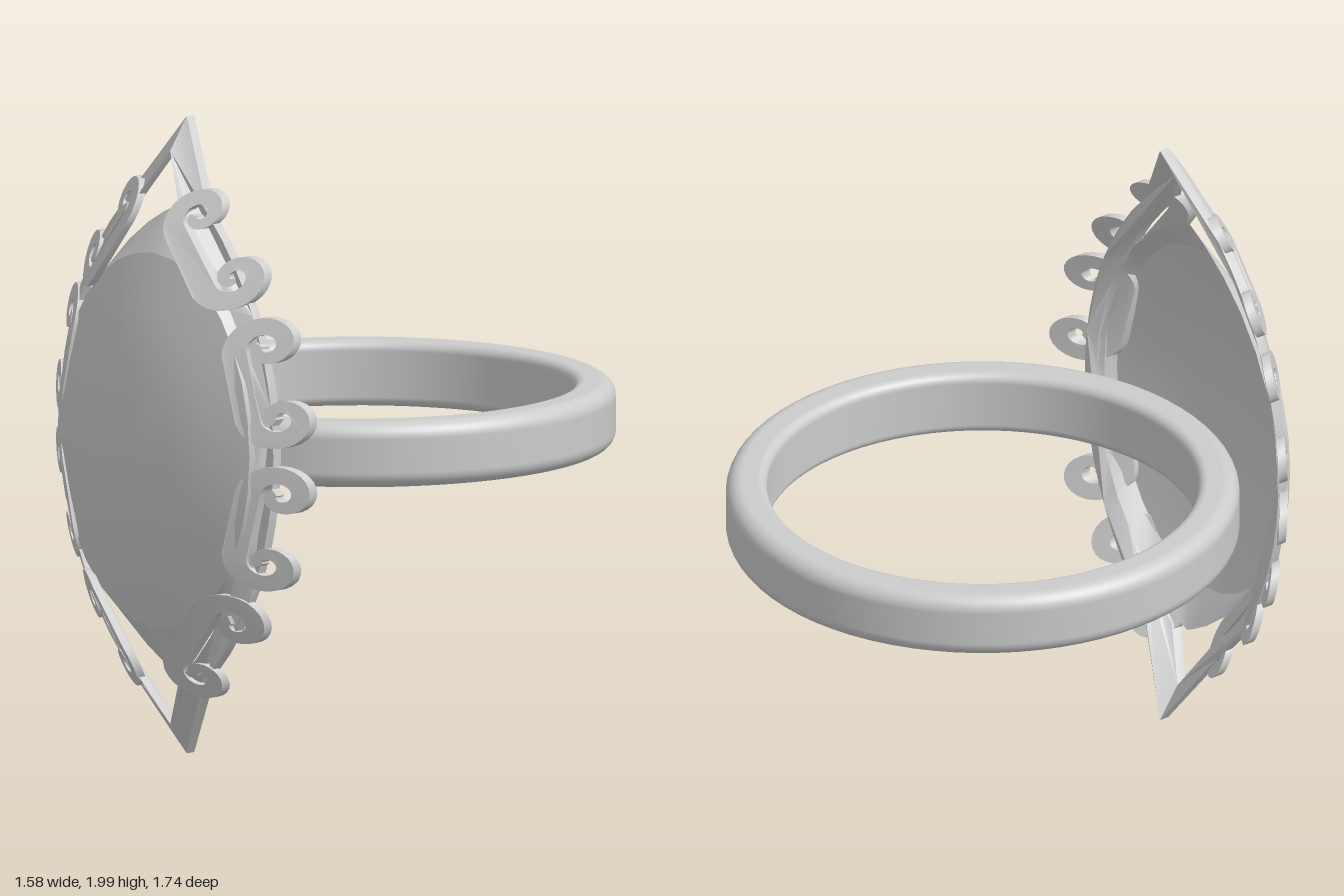
import * as THREE from 'three';
import { toCreasedNormals } from 'three/addons/utils/BufferGeometryUtils.js';

const MID = 1.005;                    // height of the setting's centre
const ARC_X = -0.552, ARC_R = 0.972;  // arc that draws each side of the pointed oval

const metal = new THREE.MeshStandardMaterial({ color: 0xcccccc });
const shell = new THREE.MeshStandardMaterial({ color: 0xcccccc, side: THREE.DoubleSide });

// x on the pointed oval, grown outwards by d, at height dy above the centre
const ovalX = (dy, d) => Math.sqrt((ARC_R + d) ** 2 - dy * dy) + ARC_X;

// Cut a plate, then slope it backwards the further it lies outside the oval
function slopedPlate(shape, name, lift = 0) {
  let g = new THREE.ExtrudeGeometry(shape, { depth: 0.032, bevelEnabled: false, curveSegments: 8 });
  const p = g.attributes.position;
  for (let i = 0; i < p.count; i++) {
    const d = Math.hypot(Math.abs(p.getX(i)) - ARC_X, p.getY(i) - MID) - ARC_R;
    p.setZ(i, p.getZ(i) + 0.753 - 0.8 * d + lift);
  }
  g = toCreasedNormals(g, 0.6);
  const mesh = new THREE.Mesh(g, metal);
  mesh.name = name;
  return mesh;
}

// Spiral of [x, y, width] from the gem side of a curl in to its core
function curl([cx, cy, r], turn) {
  const start = Math.atan2(MID - cy, ARC_X - cx), n = 26, pts = [];
  for (let i = 0; i <= n; i++) {
    const t = i / n, a = start + turn * t * Math.PI * 2.2;
    const rad = r * (0.72 - 0.57 * t);
    pts.push([cx + rad * Math.cos(a), cy + rad * Math.sin(a), r * (0.56 - 0.34 * t)]);
  }
  return pts;
}

// Double scroll: two curls joined by a stem along the gem, cut as one ribbon
function scroll(upper, lower, sx, sy) {
  const line = [...curl(upper, -1).reverse(), ...curl(lower, 1)];
  const left = [], right = [];
  line.forEach(([x, y, w], i) => {
    const a = line[Math.max(i - 1, 0)], b = line[Math.min(i + 1, line.length - 1)];
    const tx = b[0] - a[0], ty = b[1] - a[1], k = w / 2 / Math.hypot(tx, ty);
    const place = s => new THREE.Vector2(sx * (x - s * ty * k), MID + sy * (y + s * tx * k - MID));
    left.push(place(1));
    right.push(place(-1));
  });
  return slopedPlate(new THREE.Shape([...left, ...right.reverse()]), 'scroll');
}

// Pointed outline: an oval with straight-sided tips top and bottom
function pointedOutline(tip, joinY, d) {
  const pts = [new THREE.Vector2(0, MID - tip)];
  for (let i = 0; i <= 20; i++) {
    const dy = joinY * (i / 10 - 1);
    pts.push(new THREE.Vector2(ovalX(dy, d), MID + dy));
  }
  pts.push(new THREE.Vector2(0, MID + tip));
  for (let i = 21; i > 0; i--) pts.push(new THREE.Vector2(-pts[i].x, pts[i].y));
  return pts;
}

// Rings for the gem, each a function of angle giving [x, y, z]
const N = 32;
const ellipse = (w, h, z) => a => [w * Math.cos(a), MID + h * Math.sin(a), z];
const rim = a => {
  const y = 0.715 * Math.sin(a), c = Math.cos(a);
  const x = Math.max(0, Math.sqrt(0.793 ** 2 - y * y) - 0.343);
  return [Math.sign(c) * x, MID + y, 0.72];
};

// Skin neighbouring rings; optionally close the last one with a centre point
function skin(rings, cap, name) {
  const pos = [], idx = [];
  rings.forEach(f => {
    for (let i = 0; i < N; i++) pos.push(...f(i / N * Math.PI * 2));
  });
  for (let k = 0; k < rings.length - 1; k++) {
    for (let i = 0; i < N; i++) {
      const a = k * N + i, b = k * N + (i + 1) % N;
      idx.push(a, b, b + N, a, b + N, a + N);
    }
  }
  if (cap) {
    const o = (rings.length - 1) * N;
    pos.push(0, MID, 0.872);
    for (let i = 0; i < N; i++) idx.push(o + i, o + (i + 1) % N, o + N);
  }
  const g = new THREE.BufferGeometry();
  g.setAttribute('position', new THREE.Float32BufferAttribute(pos, 3));
  g.setIndex(idx);
  g.computeVertexNormals();
  const mesh = new THREE.Mesh(g, shell);
  mesh.name = name;
  return mesh;
}

// Finger band: rounded section turned about the vertical axis
function makeBand() {
  const s = new THREE.Shape(), ro = 0.05, ri = 0.03;
  const [x0, x1, y0, y1] = [0.663, 0.79, 0.885, 1.09];
  s.absarc(x1 - ro, y0 + ro, ro, -Math.PI / 2, 0);
  s.absarc(x1 - ro, y1 - ro, ro, 0, Math.PI / 2);
  s.absarc(x0 + ri, y1 - ri, ri, Math.PI / 2, Math.PI);
  s.absarc(x0 + ri, y0 + ri, ri, Math.PI, Math.PI * 1.5);
  const pts = s.getPoints(6);
  pts.push(pts[0].clone());
  const band = new THREE.Mesh(new THREE.LatheGeometry(pts, 72), metal);
  band.position.z = -0.08;
  band.name = 'band';
  return band;
}

export function createModel() {
  const model = new THREE.Group();
  model.name = 'ring';
  model.add(makeBand());

  // Hollow gem: steep border and domed face
  const gem = new THREE.Group();
  gem.name = 'gem';
  const girdle = ellipse(0.43, 0.585, 0.785);
  gem.add(skin([rim, girdle], false, 'gemBorder'));
  gem.add(skin([girdle, ellipse(0.3, 0.42, 0.832), ellipse(0.15, 0.22, 0.868)], true, 'gemDome'));
  model.add(gem);

  // Setting frame with pointed tips
  const outline = new THREE.Shape(pointedOutline(0.995, 0.72, 0.06));
  outline.holes.push(new THREE.Path(pointedOutline(0.895, 0.74, 0.012)));
  model.add(slopedPlate(outline, 'frame', -0.006));

  // Scrolls mirrored to all four quarters
  const scrolls = new THREE.Group();
  scrolls.name = 'scrolls';
  for (const sx of [1, -1]) {
    for (const sy of [1, -1]) {
      scrolls.add(scroll([0.165, 1.725, 0.098], [0.315, 1.547, 0.11], sx, sy));
      scrolls.add(scroll([0.437, 1.345, 0.108], [0.495, 1.125, 0.108], sx, sy));
    }
  }
  model.add(scrolls);
  return model;
}
